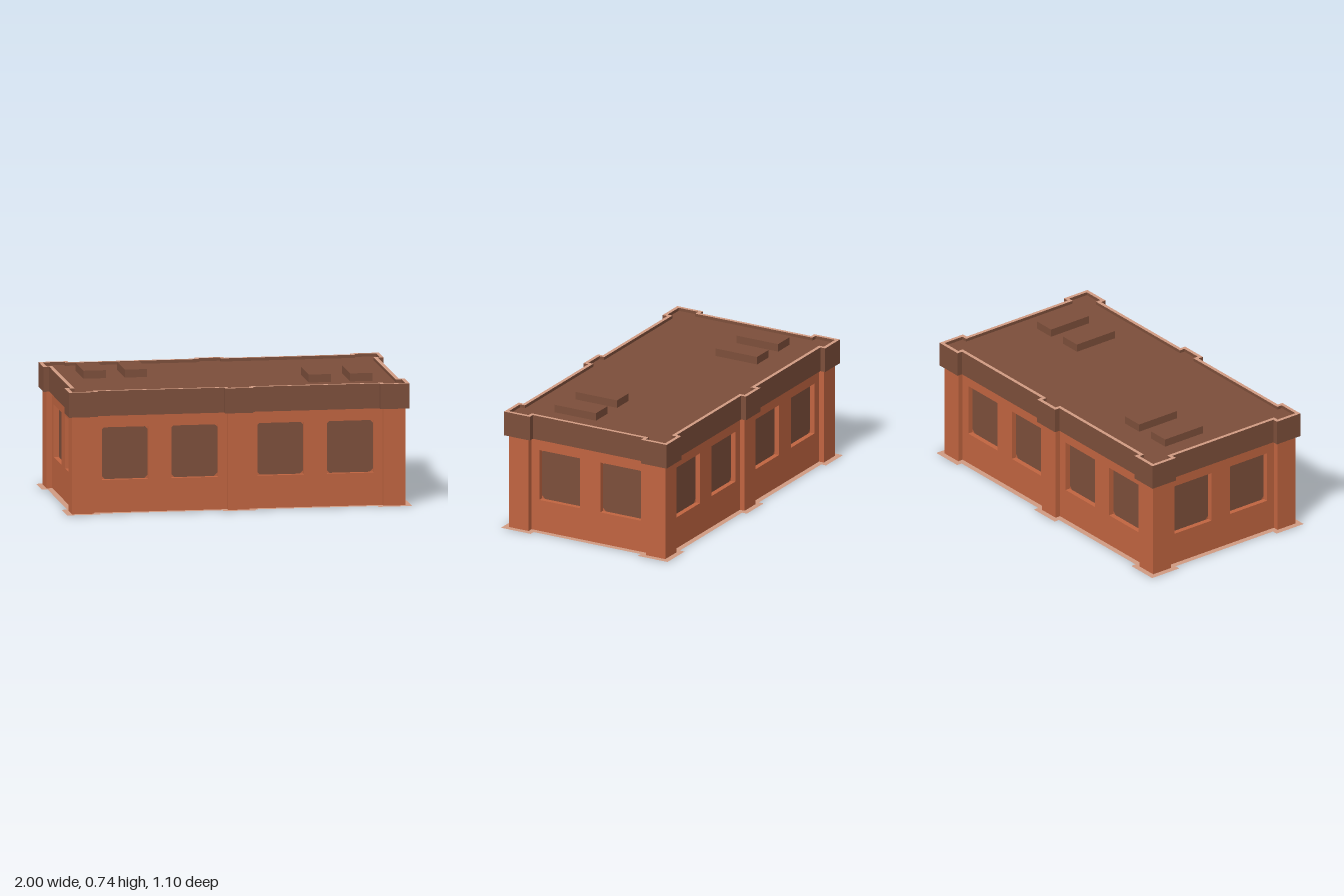
import * as THREE from 'three';

const material = (name, color) => new THREE.MeshStandardMaterial({ name, color, side: THREE.DoubleSide });

// Footprint with corner and centre pilasters, grown outwards by d; points are [x, z]
function outline(d) {
  const X = 0.966 + d, Z = 0.517 + d;     // pilaster faces
  const wx = 0.932 + d, wz = 0.485 + d;   // recessed wall faces
  const cx = 0.84 - d, cz = 0.388 - d;    // inner edges of the corner pilasters
  const m = 0.062 + d;                    // half width of the centre pilaster
  const half = [
    [-X, Z], [-cx, Z], [-cx, wz], [-m, wz], [-m, Z], [m, Z], [m, wz], [cx, wz], [cx, Z], [X, Z],
    [X, cz], [wx, cz], [wx, -cz], [X, -cz],
  ];
  return [...half, ...half.map(([x, z]) => [-x, -z])];
}

const polygon = (pts) => new THREE.Shape(pts.map(([x, y]) => new THREE.Vector2(x, y)));
const rectangle = (x0, y0, x1, y1) => polygon([[x0, y0], [x1, y0], [x1, y1], [x0, y1]]);

export function createModel() {
  const brick = material('brick', 0xc06440);
  const brown = material('brown', 0x7c4e3a);
  const trim = material('pale trim', 0xd09a82);
  const model = new THREE.Group();
  model.name = 'building';

  const add = (parent, name, geometry, mat, x = 0, y = 0, z = 0) => {
    const mesh = new THREE.Mesh(geometry, mat);
    mesh.name = name;
    mesh.position.set(x, y, z);
    parent.add(mesh);
    return mesh;
  };

  // Flat horizontal plate following the footprint, with an optional inner opening
  const plate = (name, y, mat, outer, inner) => {
    const flip = (d) => outline(d).map(([x, z]) => [x, -z]);
    const shape = polygon(flip(outer));
    if (inner !== undefined) shape.holes.push(polygon(flip(inner)));
    add(model, name, new THREE.ShapeGeometry(shape).rotateX(-Math.PI / 2), mat, 0, y, 0);
  };

  // Recessed window: four reveals, a pane with clipped corners and corner fillets
  const W = 0.27, H = 0.305, sill = 0.19, depth = 0.03, cut = 0.02;
  const addWindow = (panel, cx) => {
    const win = new THREE.Group();
    win.name = 'window';
    win.position.set(cx, sill + H / 2, 0);
    panel.add(win);
    const a = W / 2, b = H / 2;
    for (const s of [-1, 1]) {
      add(win, 'sideReveal', new THREE.PlaneGeometry(depth, H).rotateY(-s * Math.PI / 2), brick, s * a, 0, -depth / 2);
      add(win, 'edgeReveal', new THREE.PlaneGeometry(W, depth).rotateX(s * Math.PI / 2), brick, 0, s * b, -depth / 2);
    }
    const pane = polygon([
      [-a + cut, -b], [a - cut, -b], [a, -b + cut], [a, b - cut],
      [a - cut, b], [-a + cut, b], [-a, b - cut], [-a, -b + cut],
    ]);
    add(win, 'pane', new THREE.ShapeGeometry(pane), brown, 0, 0, -depth);
    const corners = [];
    for (const s of [-1, 1]) for (const t of [-1, 1])
      corners.push(polygon([[s * a, t * b], [s * (a - cut), t * b], [s * a, t * (b - cut)]]));
    add(win, 'cornerFillets', new THREE.ShapeGeometry(corners), brick, 0, 0, -depth);
  };

  // Upright faces along every edge of the footprint; long bays can hold two windows
  const band = (name, d, y0, y1, mat, windows = false) => {
    const group = new THREE.Group();
    group.name = name;
    model.add(group);
    const pts = outline(d);
    pts.forEach(([x, z], i) => {
      const [x2, z2] = pts[(i + 1) % pts.length];
      const length = Math.hypot(x2 - x, z2 - z);
      const panel = new THREE.Group();
      panel.name = name + 'Panel';
      panel.position.set((x + x2) / 2, 0, (z + z2) / 2);
      panel.rotation.y = Math.atan2(z - z2, x2 - x);
      group.add(panel);
      const shape = rectangle(-length / 2, y0, length / 2, y1);
      if (windows && length > 0.5) {
        for (const cx of [-0.202, 0.202]) {
          shape.holes.push(rectangle(cx - W / 2, sill, cx + W / 2, sill + H));
          addWindow(panel, cx);
        }
      }
      add(panel, name + 'Face', new THREE.ShapeGeometry(shape), mat);
    });
  };

  const eave = 0.565, top = 0.71, roofY = 0.692, lip = 0.021;

  // Walls standing on a thin ground skirt, open underneath
  plate('groundSkirt', 0.001, trim, 0.034, 0);
  band('wall', 0, 0, eave, brick, true);

  // Overhanging parapet with a pale coping and a sunken roof
  plate('soffit', eave, brown, lip, 0);
  band('parapet', lip, eave, top, brown);
  plate('coping', top, trim, lip, 0);
  band('parapetInside', 0, roofY, top, brown);
  plate('roof', roofY, brown, 0);

  // Roof vents, two at each end
  const ventTop = 0.738;
  for (const s of [-1, 1]) for (const x of [0.505, 0.745])
    add(model, 'roofVent', new THREE.BoxGeometry(0.13, ventTop - roofY, 0.275), brown,
      s * x, (ventTop + roofY) / 2, s * 0.17);

  return model;
}
